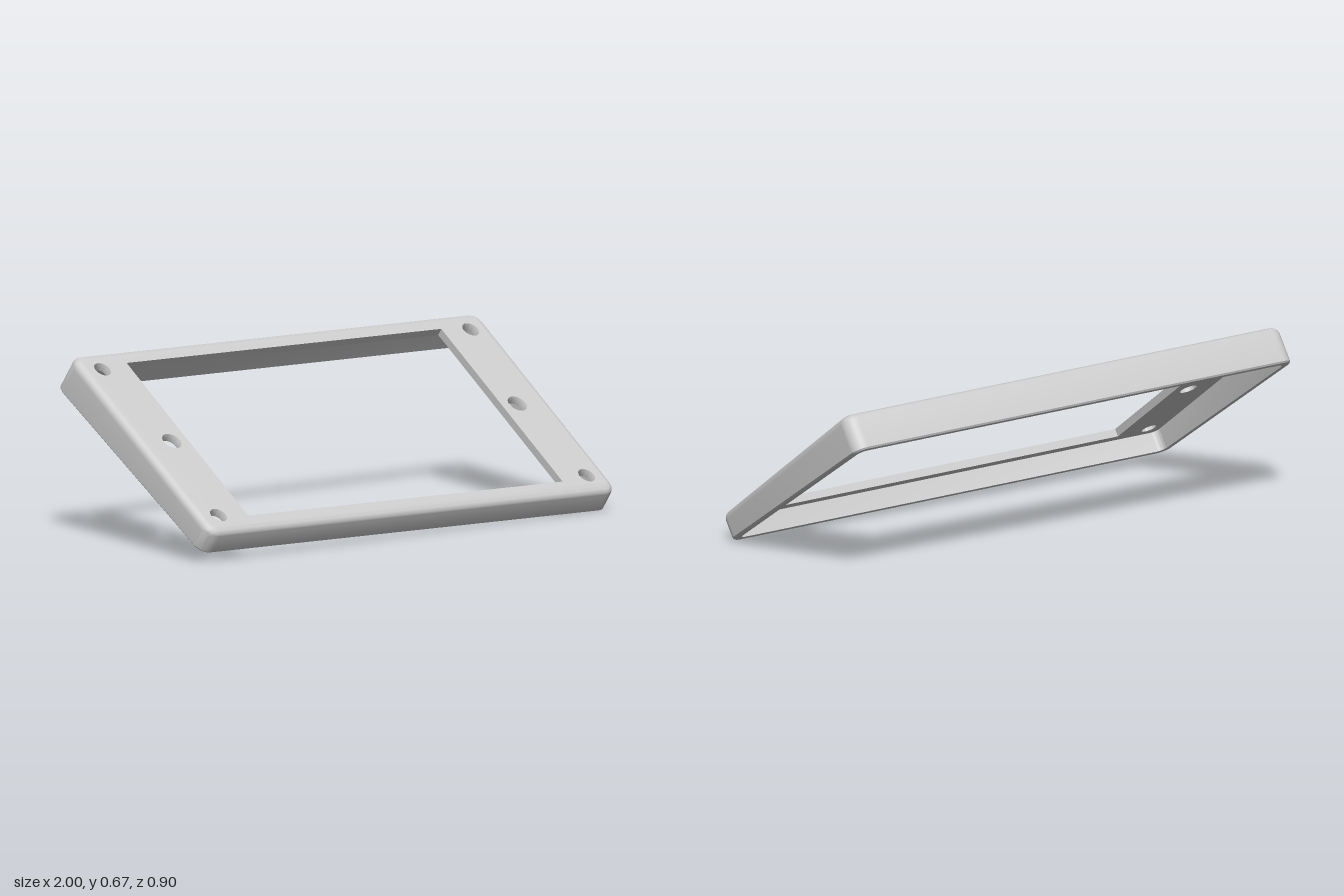
import * as THREE from 'three';
import { mergeGeometries, toCreasedNormals } from 'three/addons/utils/BufferGeometryUtils.js';

// Frame in its own axes: x along the length, y across the width, z out of the top face (z = 0)
const HALF_L = 0.99, HALF_W = 0.495, CORNER = 0.05;
const EDGE = 0.03, WALL = 0.03, PLATE = 0.03;

// The base slopes, so the rear wall is taller than the front wall
const baseZ = (y) => -0.126 - 0.043 * y;

// Rounded rectangle, counter-clockwise; z is a number or a function of y
function roundedLoop(hx, hy, r, z, steps = 8) {
  const pts = [];
  const corners = [[1, 1], [-1, 1], [-1, -1], [1, -1]];
  corners.forEach(([sx, sy], q) => {
    for (let i = 0; i <= steps; i++) {
      const a = (q + i / steps) * Math.PI / 2;
      const x = sx * (hx - r) + r * Math.cos(a);
      const y = sy * (hy - r) + r * Math.sin(a);
      pts.push(new THREE.Vector3(x, y, typeof z === 'function' ? z(y) : z));
    }
  });
  return pts;
}

function circleLoop(cx, cy, r, z, n = 32) {
  return Array.from({ length: n }, (_, i) => {
    const a = i / n * Math.PI * 2;
    return new THREE.Vector3(cx + r * Math.cos(a), cy + r * Math.sin(a), z);
  });
}

function rectLoop(hx, hy, z) {
  return [[hx, hy], [-hx, hy], [-hx, -hy], [hx, -hy]].map(([x, y]) => new THREE.Vector3(x, y, z));
}

// Skin through closed loops of equal point count
function loft(loops) {
  const n = loops[0].length, index = [];
  for (let k = 0; k < loops.length - 1; k++) {
    for (let i = 0; i < n; i++) {
      const j = (i + 1) % n;
      const a = k * n + i, b = k * n + j, c = a + n, d = b + n;
      index.push(a, b, d, a, d, c);
    }
  }
  const g = new THREE.BufferGeometry().setFromPoints(loops.flat());
  g.setIndex(index);
  return g;
}

// Flat face with holes, facing up or down
function face(outline, holes, z, down) {
  const flat = (loop) => loop.map((p) => new THREE.Vector2(p.x, p.y));
  const shape = new THREE.Shape(flat(outline));
  holes.forEach((h) => shape.holes.push(new THREE.Path(flat(h))));
  const g = new THREE.ShapeGeometry(shape);
  g.deleteAttribute('uv');
  g.deleteAttribute('normal');
  if (down) g.setIndex(Array.from(g.index.array).reverse());
  g.translate(0, 0, z);
  return g;
}

export function createModel() {
  const model = new THREE.Group();
  model.name = 'mountingFrame';
  const frame = new THREE.Group();
  frame.name = 'tiltedFrame';
  model.add(frame);
  const material = new THREE.MeshStandardMaterial({ color: 0xcccccc });

  const add = (name, geometry) => {
    const mesh = new THREE.Mesh(toCreasedNormals(geometry, 0.6), material);
    mesh.name = name;
    frame.add(mesh);
  };

  // Screw holes: three at each end, the middle one set further in
  const screws = [];
  for (const s of [-1, 1]) {
    screws.push({ x: s * 0.895, y: 0.405, r: 0.034 });
    screws.push({ x: s * 0.84, y: 0, r: 0.039 });
    screws.push({ x: s * 0.895, y: -0.405, r: 0.034 });
  }
  const bore = 0.86;

  // Shell: inner wall, base rim, outer wall and rounded top edge
  const innerX = HALF_L - WALL, innerY = HALF_W - WALL;
  const ceiling = roundedLoop(innerX, innerY, 0.03, -PLATE);
  const loops = [
    ceiling,
    roundedLoop(innerX, innerY, 0.03, baseZ),
    roundedLoop(HALF_L - 0.006, HALF_W - 0.006, CORNER - 0.006, baseZ),
    roundedLoop(HALF_L, HALF_W, CORNER, (y) => baseZ(y) + 0.006),
  ];
  for (let i = 0; i <= 6; i++) {
    const a = i / 6 * Math.PI / 2;
    const inset = EDGE * (1 - Math.cos(a));
    loops.push(roundedLoop(HALF_L - inset, HALF_W - inset, CORNER - inset, EDGE * (Math.sin(a) - 1)));
  }

  // Plate faces with the large opening and the screw holes
  const openX = 0.765, openY = 0.424;
  const opening = rectLoop(openX, openY, 0);
  const top = face(loops[loops.length - 1],
    [opening, ...screws.map((h) => circleLoop(h.x, h.y, h.r, 0))], 0, false);
  const underside = face(ceiling,
    [opening, ...screws.map((h) => circleLoop(h.x, h.y, h.r * bore, 0))], -PLATE, true);
  add('frameShell', mergeGeometries([loft(loops), top, underside]));

  // Edge of the large opening
  add('openingEdge', loft([opening, rectLoop(openX, openY, -PLATE)]));

  // Countersunk screw hole walls
  screws.forEach((h) => add('screwHole', loft([
    circleLoop(h.x, h.y, h.r, 0),
    circleLoop(h.x, h.y, h.r * bore, -0.012),
    circleLoop(h.x, h.y, h.r * bore, -PLATE),
  ])));

  // Lean the frame back, with a slight twist, and stand it on the ground
  const u = new THREE.Vector3(1, -0.018, 0.0115).normalize();
  const n = u.clone().cross(new THREE.Vector3(0.02, 0.574, -0.819)).normalize();
  const v = n.clone().cross(u);
  frame.quaternion.setFromRotationMatrix(new THREE.Matrix4().makeBasis(u, v, n));
  model.updateMatrixWorld(true);
  const box = new THREE.Box3().setFromObject(frame, true);
  const c = box.getCenter(new THREE.Vector3());
  frame.position.set(-c.x, -box.min.y, -c.z);
  return model;
}
